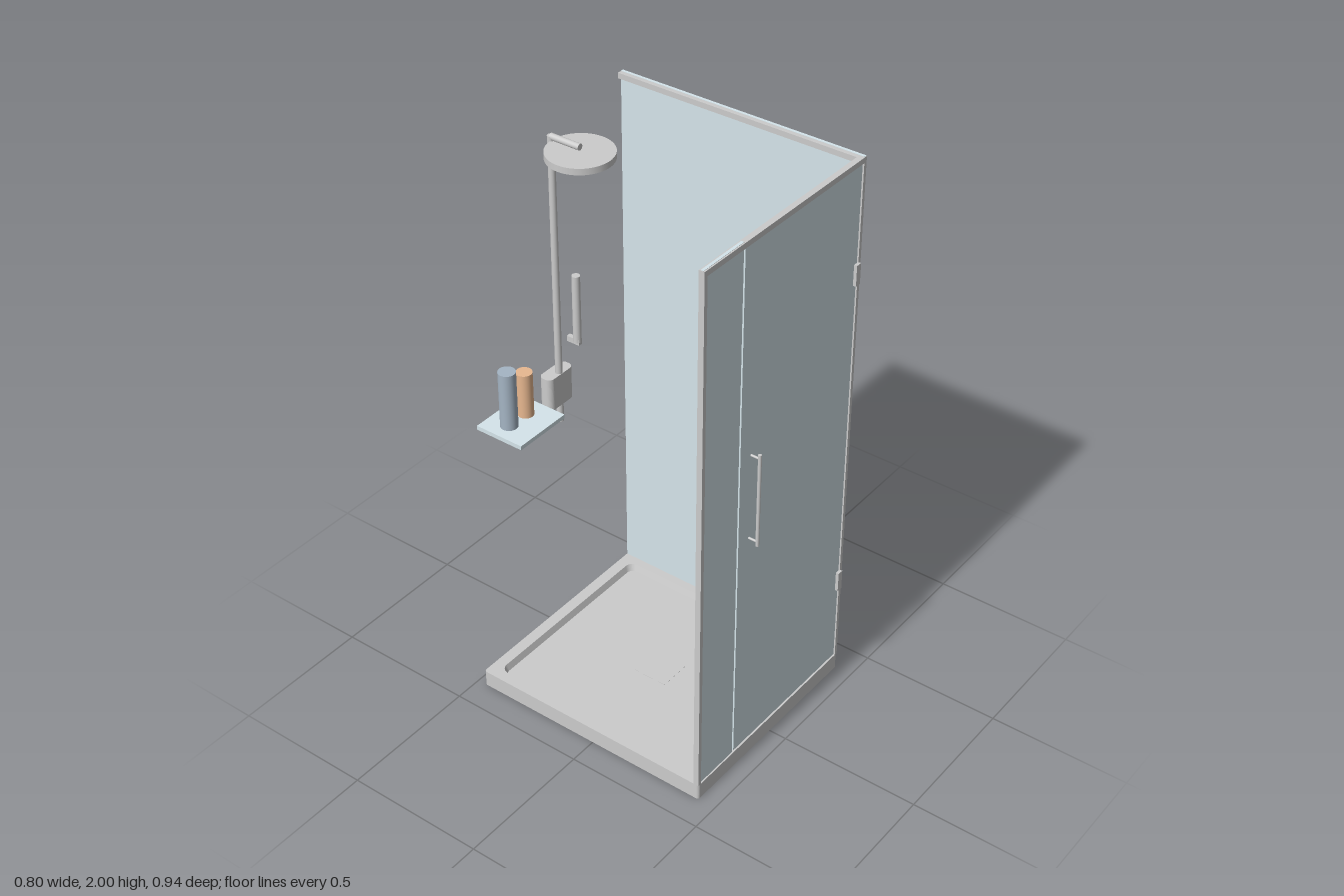
import * as THREE from 'three';

const grey = new THREE.MeshStandardMaterial({ color: 0xcccccc });
const glass = new THREE.MeshStandardMaterial({ color: 0xd5e5eb });
const blue = new THREE.MeshStandardMaterial({ color: 0xa5b5c4 });
const orange = new THREE.MeshStandardMaterial({ color: 0xe8b890 });

function add(parent, name, geometry, material = grey) {
  const mesh = new THREE.Mesh(geometry, material);
  mesh.name = name;
  parent.add(mesh);
  return mesh;
}

// Box given by its lower and upper limits on each axis
function box(parent, name, [x0, x1], [y0, y1], [z0, z1], material) {
  const mesh = add(parent, name, new THREE.BoxGeometry(x1 - x0, y1 - y0, z1 - z0), material);
  mesh.position.set((x0 + x1) / 2, (y0 + y1) / 2, (z0 + z1) / 2);
  return mesh;
}

// Upright cylinder from y0 to y1
function post(parent, name, x, z, r, y0, y1, material) {
  const mesh = add(parent, name, new THREE.CylinderGeometry(r, r, y1 - y0, 40), material);
  mesh.position.set(x, (y0 + y1) / 2, z);
  return mesh;
}

// Rod along z
function rod(parent, name, x, y, r, z0, z1) {
  const mesh = add(parent, name, new THREE.CylinderGeometry(r, r, z1 - z0, 24));
  mesh.rotation.x = Math.PI / 2;
  mesh.position.set(x, y, (z0 + z1) / 2);
  return mesh;
}

// Rounded rectangle in plan; shape y is -z
function plan(x0, x1, z0, z1, r, Type = THREE.Shape) {
  const s = new Type(), b = -z1, t = -z0, q = Math.PI / 2;
  s.moveTo(x0 + r, b);
  s.absarc(x1 - r, b + r, r, -q, 0);
  s.absarc(x1 - r, t - r, r, 0, q);
  s.absarc(x0 + r, t - r, r, q, 2 * q);
  s.absarc(x0 + r, b + r, r, 2 * q, 3 * q);
  s.closePath();
  return s;
}

function slab(shape, y0, y1) {
  const g = new THREE.ExtrudeGeometry(shape, { depth: y1 - y0, bevelEnabled: false, curveSegments: 10 });
  return g.rotateX(-Math.PI / 2).translate(0, y0, 0);
}

// Sloping wall between two matching outlines, facing inwards
function slopedWall(upper, lower, yTop, yLow) {
  const a = upper.getPoints(10), b = lower.getPoints(10), pos = [];
  for (let i = 0; i < a.length; i++) {
    const j = (i + 1) % a.length;
    const A = [a[i].x, yTop, -a[i].y], B = [a[j].x, yTop, -a[j].y];
    const C = [b[i].x, yLow, -b[i].y], D = [b[j].x, yLow, -b[j].y];
    pos.push(...A, ...B, ...C, ...B, ...D, ...C);
  }
  const g = new THREE.BufferGeometry();
  g.setAttribute('position', new THREE.Float32BufferAttribute(pos, 3));
  g.computeVertexNormals();
  return g;
}

function createTray() {
  const tray = new THREE.Group();
  tray.name = 'tray';
  const top = 0.06, floor = 0.035;
  add(tray, 'trayBase', slab(plan(-0.4, 0.4, -0.47, 0.435, 0.01), 0, floor));
  const rim = plan(-0.4, 0.4, -0.47, 0.435, 0.01);
  rim.holes.push(plan(-0.36, 0.36, -0.43, 0.39, 0.03, THREE.Path));
  add(tray, 'trayRim', slab(rim, floor, top));
  const wall = slopedWall(plan(-0.36, 0.36, -0.43, 0.39, 0.03), plan(-0.352, 0.352, -0.422, 0.382, 0.025), top, floor);
  const inner = add(tray, 'traySlope', wall, grey.clone());
  inner.material.side = THREE.DoubleSide;
  box(tray, 'drainCover', [-0.065, 0.065], [0.03, floor + 0.0008], [-0.085, 0.045]);
  return tray;
}

function createEnclosure() {
  const g = new THREE.Group();
  g.name = 'enclosure';
  // Glass panes
  box(g, 'fixedPanel', [-0.398, -0.21], [0.06, 2], [0.42, 0.43], glass);
  box(g, 'door', [-0.205, 0.383], [0.066, 1.98], [0.422, 0.432], glass);
  box(g, 'sidePanel', [0.39, 0.4], [0.06, 2], [-0.47, 0.433], glass);
  // Frame
  box(g, 'frontRail', [-0.4, 0.399], [1.98, 1.999], [0.415, 0.435]);
  box(g, 'sideRail', [0.375, 0.391], [1.98, 1.999], [-0.47, 0.415]);
  box(g, 'wallJamb', [-0.4, -0.386], [0.06, 1.98], [0.415, 0.435]);
  box(g, 'cornerPost', [0.387, 0.399], [0.06, 1.98], [0.417, 0.435]);
  // Hinges
  for (const y of [0.4, 1.603]) {
    box(g, 'hinge', [0.368, 0.39], [y - 0.037, y + 0.037], [0.413, 0.443]);
  }
  // Door handle
  post(g, 'handleBar', -0.15, 0.464, 0.006, 0.905, 1.25);
  for (const y of [0.92, 1.235]) rod(g, 'handleStandoff', -0.15, y, 0.004, 0.43, 0.464);
  return g;
}

function createShower() {
  const g = new THREE.Group();
  g.name = 'showerColumn';
  add(g, 'mixerBody', slab(plan(-0.06, 0.06, -0.47, -0.42, 0.02), 0.97, 1.09));
  post(g, 'riser', 0, -0.433, 0.012, 0.9, 1.955);
  rod(g, 'showerArm', 0, 1.952, 0.011, -0.433, -0.32);
  post(g, 'showerHead', 0, -0.32, 0.11, 1.918, 1.94);
  // Hand shower and its holder
  post(g, 'handShower', 0.085, -0.422, 0.014, 1.17, 1.42);
  box(g, 'handShowerHolder', [0.077, 0.093], [1.16, 1.18], [-0.46, -0.41]);
  return g;
}

function createShelf() {
  const g = new THREE.Group();
  g.name = 'shelfWithBottles';
  box(g, 'shelf', [-0.383, -0.171], [1.075, 1.09], [-0.45, -0.27], glass);
  post(g, 'tallBottle', -0.321, -0.37, 0.029, 1.09, 1.295, blue);
  post(g, 'shortBottle', -0.241, -0.37, 0.027, 1.09, 1.25, orange);
  return g;
}

export function createModel() {
  const model = new THREE.Group();
  model.name = 'showerCubicle';
  model.add(createTray(), createEnclosure(), createShower(), createShelf());
  return model;
}
